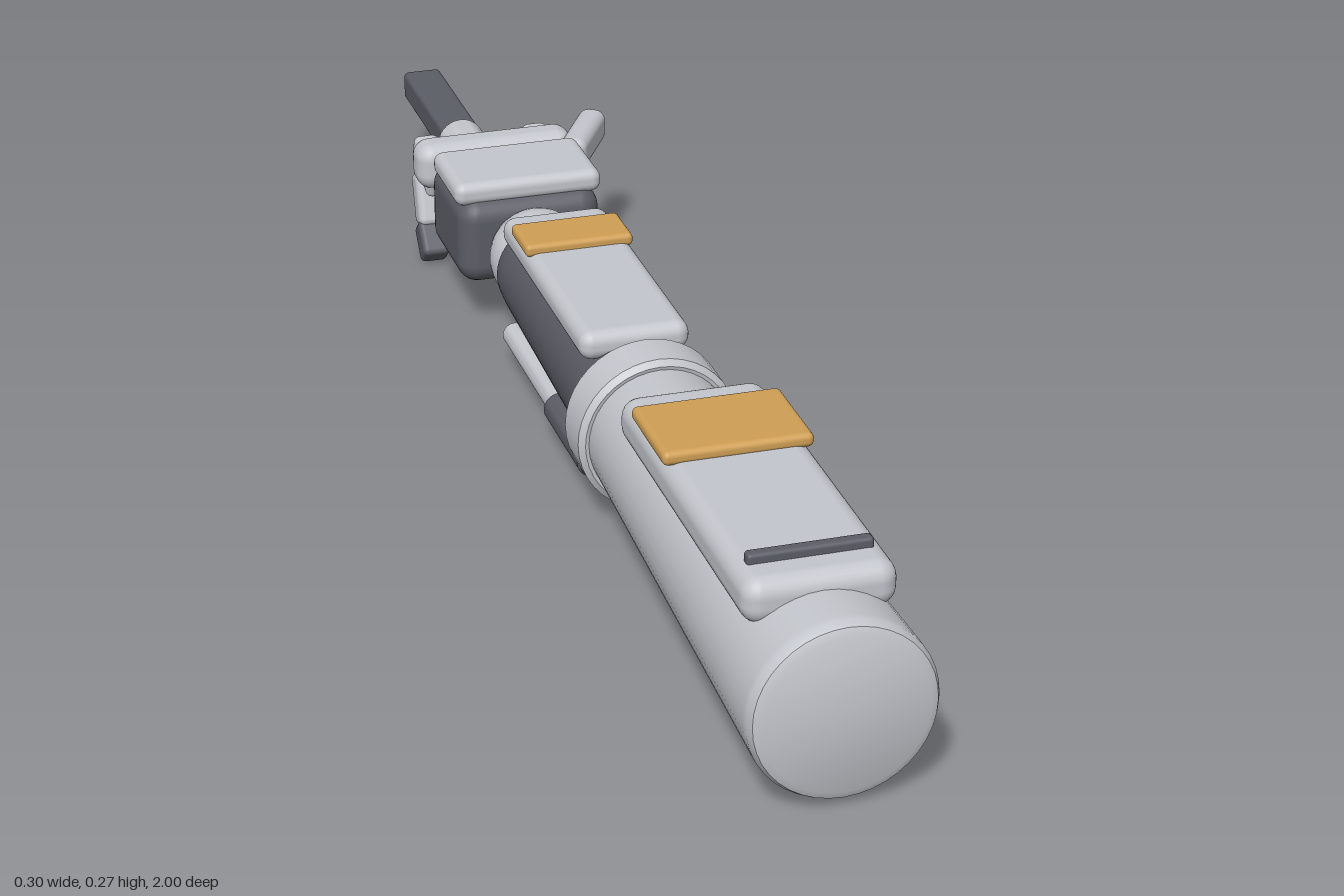
import * as THREE from 'three';
import { toCreasedNormals } from 'three/addons/utils/BufferGeometryUtils.js';
import { RoundedBoxGeometry } from 'three/addons/geometries/RoundedBoxGeometry.js';

const material = (name, color) => {
  const m = new THREE.MeshStandardMaterial({ color });
  m.name = name;
  return m;
};

export function createModel() {
  const shell = material('light grey shell', 0xc3c6cc);
  const frame = material('dark grey frame', 0x5b5d66);
  const accent = material('amber accent', 0xcf9f55);

  const CX = -0.033, CY = 0.13; // arm axis
  const group = new THREE.Group();
  group.name = 'mechanicalArm';

  const add = (name, geometry, mat, x, y, z) => {
    const mesh = new THREE.Mesh(geometry, mat);
    mesh.name = name;
    mesh.position.set(x, y, z);
    group.add(mesh);
    return mesh;
  };

  // Rounded box given by its limits on each axis
  const box = (name, mat, [x0, x1], [y0, y1], [z0, z1], r) =>
    add(name, new RoundedBoxGeometry(x1 - x0, y1 - y0, z1 - z0, 3, r), mat,
      (x0 + x1) / 2, (y0 + y1) / 2, (z0 + z1) / 2);

  // Turned part along z from [radius, z] pairs, z rising
  const turned = (name, mat, profile, x = CX, y = CY, segments = 40) => {
    const g = new THREE.LatheGeometry(profile.map(([r, z]) => new THREE.Vector2(r, z)), segments);
    g.rotateX(Math.PI / 2);
    return add(name, toCreasedNormals(g, 0.6), mat, x, y, 0);
  };

  // Rounded bar between two points
  const bar = (name, mat, from, to, w, h, r) => {
    const a = new THREE.Vector3(...from), b = new THREE.Vector3(...to);
    const mid = a.clone().add(b).multiplyScalar(0.5);
    const mesh = add(name, new RoundedBoxGeometry(w, h, a.distanceTo(b), 3, r), mat, mid.x, mid.y, mid.z);
    mesh.lookAt(b);
    return mesh;
  };

  // Upper arm
  turned('upperArm', shell, [
    [0, 0.22], [0.09, 0.22], [0.095, 0.27], [0.117, 0.975], [0.117, 0.985],
    [0.112, 0.995], [0.102, 1], [0, 1],
  ]);
  box('upperArmPanel', shell, [-0.128, 0.062], [0.205, 0.265], [0.4, 0.912], 0.024);
  box('upperArmMarking', accent, [-0.129, 0.064], [0.26, 0.279], [0.462, 0.6], 0.008);
  box('upperArmBar', frame, [-0.11, 0.045], [0.26, 0.277], [0.848, 0.865], 0.005);

  // Elbow collar
  turned('elbowCollar', shell, [
    [0.088, 0.203], [0.1, 0.2], [0.108, 0.207], [0.108, 0.268], [0.1, 0.275],
    [0.088, 0.272], [0.088, 0.203],
  ]);

  // Forearm
  turned('forearm', frame, [
    [0, -0.277], [0.066, -0.277], [0.073, -0.268], [0.075, -0.24], [0.084, 0.15],
    [0.092, 0.2], [0.092, 0.22], [0, 0.22],
  ]);
  box('forearmPanel', shell, [-0.108, 0.042], [0.195, 0.236], [-0.235, 0.172], 0.018);
  box('forearmMarking', accent, [-0.109, 0.043], [0.23, 0.248], [-0.178, -0.096], 0.007);

  // Paired pistons under the forearm
  for (const side of [-1, 1]) {
    const x = CX + side * 0.058;
    turned('pistonCylinder', frame, [
      [0, 0], [0.02, 0], [0.023, 0.004], [0.023, 0.168], [0.02, 0.172], [0, 0.172],
    ], x, 0.05, 20);
    turned('pistonRod', shell, [
      [0, -0.236], [0.014, -0.236], [0.017, -0.232], [0.017, 0.01], [0, 0.01],
    ], x, 0.053, 20);
  }

  // Wrist and hand
  add('wristBall', new THREE.SphereGeometry(0.07, 32, 20), shell, CX, CY, -0.31);
  box('palm', frame, [-0.138, 0.07], [0.08, 0.207], [-0.525, -0.34], 0.03);
  box('handPlate', shell, [-0.141, 0.074], [0.198, 0.232], [-0.495, -0.355], 0.014);
  box('knuckleGuard', shell, [-0.152, 0.084], [0.15, 0.22], [-0.588, -0.527], 0.024);
  bar('thumb', shell, [0.068, 0.197, -0.494], [0.136, 0.197, -0.612], 0.04, 0.05, 0.015);

  // Four curled fingers, each with three joints
  [-0.115, -0.06, -0.004, 0.05].forEach((x, i) => {
    const out = i === 0 || i === 3 ? 0 : 0.01;
    bar('fingerBase', shell, [x, 0.145, -0.555], [x, 0.178, -0.648 + out], 0.038, 0.042, 0.01);
    bar('fingerMiddle', shell, [x, 0.132, -0.647 + out], [x, 0.058, -0.622 + out], 0.038, 0.038, 0.01);
    bar('fingerTip', frame, [x, 0.058, -0.63 + out], [x, 0.017, -0.592 + out], 0.04, 0.04, 0.008);
  });

  // Tool held in the hand
  turned('toolSleeve', shell, [
    [0, -0.758], [0.031, -0.758], [0.035, -0.753], [0.035, -0.54], [0, -0.54],
  ], CX, CY, 28);
  box('toolBarrel', frame, [-0.062, -0.004], [0.108, 0.152], [-1, -0.74], 0.008);

  return group;
}
